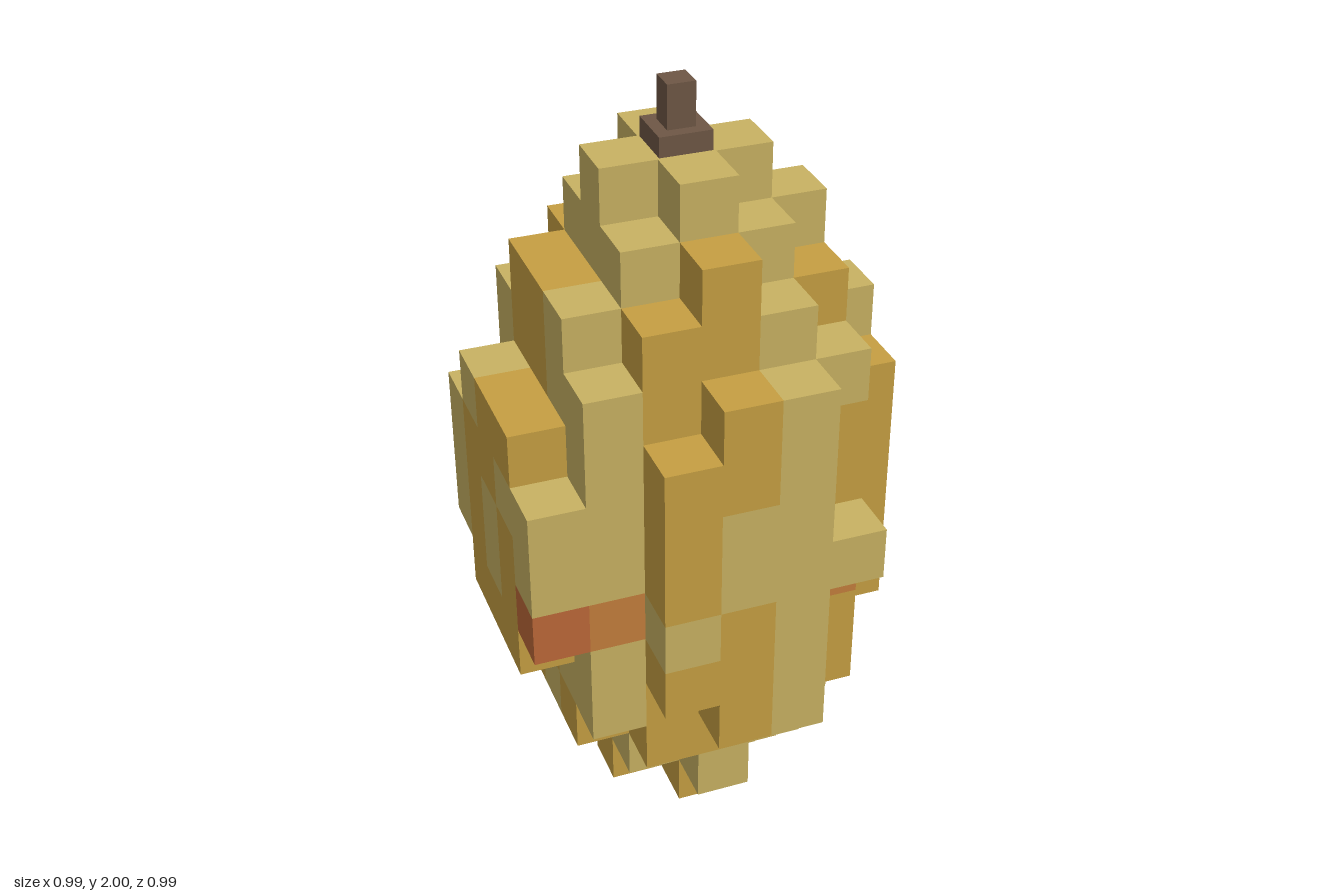
import * as THREE from 'three';
import { mergeGeometries } from 'three/addons/utils/BufferGeometryUtils.js';

const CELL = 0.1415;
const MID = 6; // middle layer of 13

// Half-height of each column in cells, by |z| = 0..3, for x = -3..3 (-1 is empty)
const HALF_HEIGHT = [
  [2, 4, 6, 6, 6, 5, 3],
  [2, 4, 5, 6, 5, 4, 2],
  [1, 3, 4, 5, 4, 3, -1],
  [-1, -1, 2, 3, 3, 0, -1],
];

// Patches on each side, top layer first: . tan, G gold, O orange, R red
const FRONT = [ // x = -3..3
  '.......', '...G...', '..GG.G.', '..GG...', 'G.GG.GG', '..G..GG', '..G...G',
  'RO.G.OG', 'G.GG.GG', '..GG.G.', '..GG.G.', '....G..', '..GG...'];
const BACK = [ // x = -3..3
  '.......', '...G...', '..GG...', '.......', '..RRO..', '.......', '..GG...',
  '..G....', '..GG...', '.......', '..GG...', '...G...', '.......'];
const PLUS_X = [ // z = -3..3
  '.......', '.......', '..G.G..', '....G..', '..G.GG.', '.G..GG.', '.G..GG.',
  '.GG.GO.', '..G.GG.', '..G..G.', '..G.GG.', '..G.G..', '.......'];
const MINUS_X = [ // z = -3..3
  '.......', '.......', '..GG...', '..GG...', '...GG..', '..GG...', '..G.G..',
  '..G.G..', '..GGG..', '..GG...', '..G.G..', '.......', '...G...'];

const DIRECTIONS = [
  [1, 0, 0], [-1, 0, 0], [0, 1, 0], [0, -1, 0], [0, 0, 1], [0, 0, -1],
].map((d) => new THREE.Vector3(...d));

function filled(x, y, z) {
  if (Math.abs(x) > 3 || Math.abs(z) > 3) return false;
  return Math.abs(y - MID) <= HALF_HEIGHT[Math.abs(z)][x + 3];
}

function patch(x, y, z) {
  const row = 12 - y;
  const corner = x === 2 && Math.abs(z) === 2;
  if (Math.abs(z) >= 2 && !corner) return (z > 0 ? FRONT : BACK)[row][x + 3];
  if (x === 0) return (z >= 0 ? FRONT : BACK)[row][3];
  return (x > 0 ? PLUS_X : MINUS_X)[row][z + 3];
}

// One exposed square of a cell
function cellFace(x, y, z, dir) {
  const g = new THREE.PlaneGeometry(CELL, CELL);
  g.applyQuaternion(new THREE.Quaternion().setFromUnitVectors(new THREE.Vector3(0, 0, 1), dir));
  const c = new THREE.Vector3(x, y + 0.5, z).addScaledVector(dir, 0.5).multiplyScalar(CELL);
  return g.translate(c.x, c.y, c.z);
}

function material(name, color) {
  const m = new THREE.MeshStandardMaterial({ color });
  m.name = name;
  return m;
}

export function createModel() {
  const model = new THREE.Group();
  model.name = 'blockFruit';

  // Husk, one mesh for each colour of patch
  const husk = new THREE.Group();
  husk.name = 'husk';
  model.add(husk);
  const faces = { '.': [], G: [], O: [], R: [] };
  for (let x = -3; x <= 3; x++) {
    for (let z = -3; z <= 3; z++) {
      for (let y = 0; y < 13; y++) {
        if (!filled(x, y, z)) continue;
        for (const d of DIRECTIONS) {
          if (!filled(x + d.x, y + d.y, z + d.z)) faces[patch(x, y, z)].push(cellFace(x, y, z, d));
        }
      }
    }
  }
  const colours = [
    ['.', 'tan', 0xc8b262], ['G', 'gold', 0xc69f42],
    ['O', 'orange', 0xc47e3c], ['R', 'red', 0xbc6838],
  ];
  for (const [key, name, hex] of colours) {
    const mesh = new THREE.Mesh(mergeGeometries(faces[key]), material(name, hex));
    mesh.name = name + 'Husk';
    husk.add(mesh);
  }

  // Stem
  const brown = material('brown', 0x6e5745);
  const top = 13 * CELL;
  for (const [name, width, y0, y1] of [['stemBase', 0.132, top, 1.89], ['stem', 0.07, 1.89, 2]]) {
    const mesh = new THREE.Mesh(new THREE.BoxGeometry(width, y1 - y0, width), brown);
    mesh.position.y = (y0 + y1) / 2;
    mesh.name = name;
    model.add(mesh);
  }
  return model;
}
